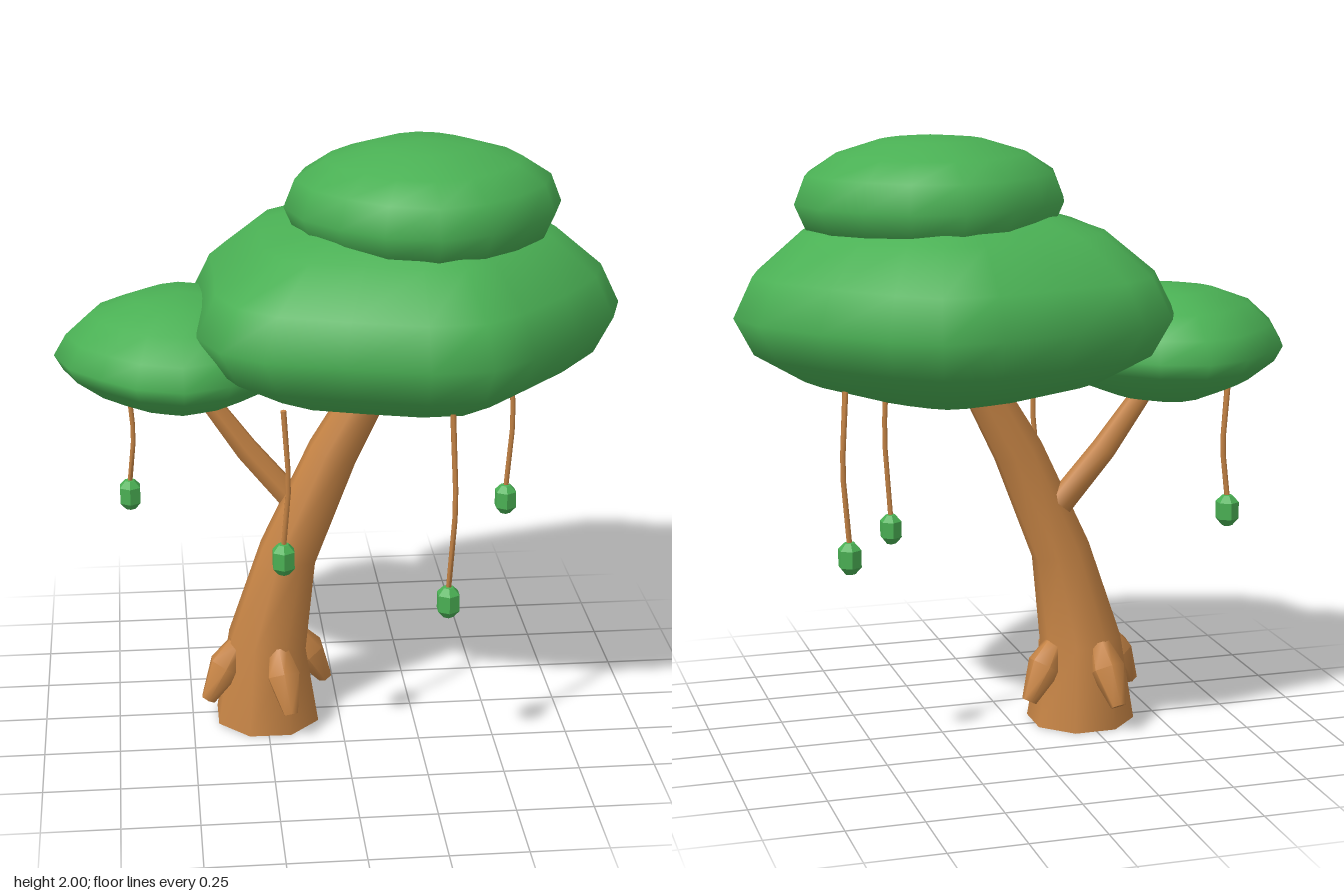
import * as THREE from 'three';
import { mergeVertices, toCreasedNormals } from 'three/addons/utils/BufferGeometryUtils.js';

const bark = new THREE.MeshStandardMaterial({ color: 0xc68445, side: THREE.DoubleSide });
bark.name = 'bark';
const leaf = new THREE.MeshStandardMaterial({ color: 0x4ab054 });
leaf.name = 'leaf';

// Skin over a stack of closed rings (arrays of Vector3), bottom to top
function loft(rings) {
  const n = rings[0].length;
  const index = [];
  for (let r = 0; r < rings.length - 1; r++) {
    for (let i = 0; i < n; i++) {
      const a = r * n + i, b = r * n + ((i + 1) % n);
      index.push(a, a + n, b, b, a + n, b + n);
    }
  }
  const geo = new THREE.BufferGeometry().setFromPoints(rings.flat());
  geo.setIndex(index);
  const welded = mergeVertices(geo, 1e-5);
  welded.computeVertexNormals();
  return welded;
}

// Tapered limb along points [x, y, z, radius]
function limb(points, sides, capped = true) {
  const p = points.map(([x, y, z]) => new THREE.Vector3(x, y, z));
  const rings = p.map((c, k) => {
    const t = p[Math.min(k + 1, p.length - 1)].clone().sub(p[Math.max(k - 1, 0)]).normalize();
    const u = new THREE.Vector3(1, 0, 0).addScaledVector(t, -t.x).normalize();
    const v = u.clone().cross(t);
    return Array.from({ length: sides }, (_, i) => {
      const a = (i + 0.5) / sides * Math.PI * 2, r = points[k][3];
      return c.clone().addScaledVector(u, r * Math.cos(a)).addScaledVector(v, r * Math.sin(a));
    });
  });
  if (capped) {
    rings.unshift(rings[0].map(() => p[0].clone()));
    rings.push(rings[0].map(() => p[p.length - 1].clone()));
  }
  return toCreasedNormals(loft(rings), 1.1);
}

// Foliage cushion: plan outline [x, z] scaled about a centre by profile rows [scale, y]
function cushion(outline, cx, cz, profile) {
  return loft(profile.map(([s, y]) =>
    outline.map(([x, z]) => new THREE.Vector3(cx + x * s, y, cz + z * s))));
}

// Sixteen-sided round outline, slightly pulled in on the diagonals
function roundOutline(rx, rz, pinch) {
  return Array.from({ length: 16 }, (_, i) => {
    const a = i / 16 * Math.PI * 2;
    const k = 1 - pinch * Math.sin(2 * a) ** 2;
    return [rx * k * Math.cos(a), rz * k * Math.sin(a)];
  });
}

export function createModel() {
  const tree = new THREE.Group();
  tree.name = 'tree';
  const add = (name, geo, mat, parent = tree) => {
    const mesh = new THREE.Mesh(geo, mat);
    mesh.name = name;
    parent.add(mesh);
    return mesh;
  };

  // Leaning trunk, open at the base
  add('trunk', limb([
    [-0.245, 0, 0.022, 0.183], [-0.243, 0.28, 0.022, 0.138], [-0.17, 0.6, 0.02, 0.1],
    [-0.02, 0.95, 0.015, 0.085], [0.09, 1.15, 0.01, 0.072], [0.16, 1.28, 0.01, 0.07],
  ], 8, false), bark);

  // Side branch to the small cushion
  add('branch', limb([
    [-0.15, 0.77, -0.03, 0.045], [-0.3, 0.95, -0.04, 0.042], [-0.42, 1.12, -0.05, 0.034],
    [-0.48, 1.22, -0.05, 0.03],
  ], 6), bark);

  // Four spurs around the foot of the trunk
  for (let i = 0; i < 4; i++) {
    const a = i * Math.PI / 2 - 0.32;
    const at = (d, y, r) => [-0.245 + d * Math.cos(a), y, 0.02 + d * Math.sin(a), r];
    add('root', limb([at(0.215, 0.095, 0.026), at(0.15, 0.21, 0.06), at(0.105, 0.285, 0.035)], 6), bark);
  }

  // Main cushion: half outline mirrored across z
  const half = [[0.92, 0], [0.87, 0.165], [0.72, 0.37], [0.55, 0.55], [0.41, 0.652], [0.22, 0.657],
    [-0.03, 0.59], [-0.27, 0.515], [-0.4, 0.41], [-0.465, 0.25], [-0.46, 0]];
  const mirrored = half.slice(1, -1).reverse().map(([x, z]) => [x, -z]);
  const mainOutline = [...half, ...mirrored].map(([x, z]) => [x - 0.22, z]);
  add('mainFoliage', cushion(mainOutline, 0.22, 0, [
    [0, 1.14], [0.33, 1.152], [0.68, 1.225], [0.91, 1.32], [1, 1.44],
    [0.91, 1.57], [0.69, 1.7], [0.43, 1.755], [0, 1.775],
  ]), leaf);

  // Top cushion
  add('topFoliage', cushion(roundOutline(0.445, 0.433, 0.07), 0.27, 0.02, [
    [0, 1.58], [0.38, 1.6], [0.71, 1.645], [0.92, 1.71], [1, 1.79],
    [0.92, 1.88], [0.71, 1.94], [0.38, 1.985], [0, 2],
  ]), leaf);

  // Side cushion
  add('sideFoliage', cushion(roundOutline(0.41, 0.41, 0.11), -0.51, -0.05, [
    [0, 1.115], [0.39, 1.13], [0.71, 1.18], [0.93, 1.245], [1, 1.295],
    [0.9, 1.365], [0.71, 1.435], [0.39, 1.483], [0, 1.5],
  ]), leaf);

  // Hanging vines, each ending in a six-sided pod: x, z, top y, pod centre y
  const podProfile = [[0, -0.055], [0.018, -0.05], [0.039, -0.026], [0.039, 0.03], [0.018, 0.052], [0, 0.055]]
    .map(([r, y]) => new THREE.Vector2(r, y));
  const podGeo = new THREE.LatheGeometry(podProfile, 6).toNonIndexed();
  podGeo.computeVertexNormals();
  const vines = [[-0.69, -0.18, 1.17, 0.745], [-0.21, 0.405, 1.25, 0.745],
    [0.312, 0.45, 1.24, 0.595], [0.597, -0.18, 1.24, 0.68]];
  for (const [x, z, top, pod] of vines) {
    const hanging = new THREE.Group();
    hanging.name = 'hangingVine';
    tree.add(hanging);
    const h = top - pod;
    add('vine', limb([
      [x, pod + 0.04, z, 0.009], [x + 0.016, pod + h * 0.45, z + 0.005, 0.009],
      [x + 0.016, pod + h * 0.6, z + 0.007, 0.009], [x + 0.003, top, z + 0.01, 0.01],
    ], 6), bark, hanging);
    add('pod', podGeo, leaf, hanging).position.set(x, pod, z);
  }
  return tree;
}
